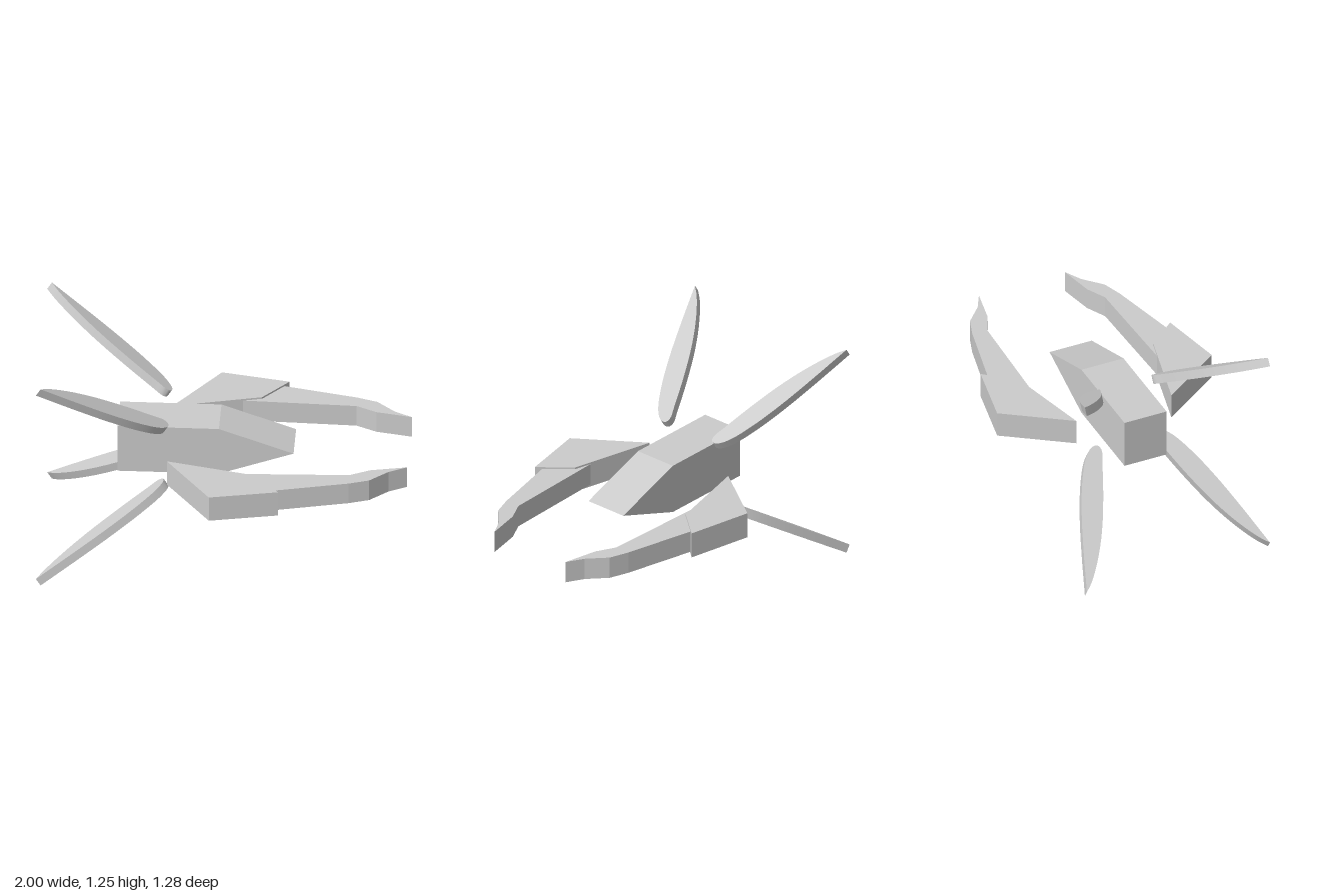
import * as THREE from 'three';
import { toCreasedNormals } from 'three/addons/utils/BufferGeometryUtils.js';

const MID_Y = 0.632; // horizontal symmetry plane

const shapeOf = (pts) => new THREE.Shape(pts.map(([x, y]) => new THREE.Vector2(x, y)));

function addMesh(parent, name, geometry, flat = true) {
  const mesh = new THREE.Mesh(geometry, new THREE.MeshStandardMaterial({ color: 0xcccccc, flatShading: flat }));
  mesh.name = name;
  parent.add(mesh);
}

// Plate with an (x, z) outline, between two heights
function plate(outline, side, y0, y1) {
  const shape = shapeOf(outline.map(([x, z]) => [x, -side * z]));
  const geo = new THREE.ExtrudeGeometry(shape, { depth: y1 - y0, bevelEnabled: false });
  return geo.rotateX(-Math.PI / 2).translate(0, y0, 0);
}

// Leaf-shaped blade, tilted outward; sy = up/down, sz = left/right
function blade(sy, sz) {
  const sin = 0.54, cos = 0.842, thick = 0.048, baseX = -0.3, baseY = 0.826;
  // Outline as (z, y) points, from the tip down the inner edge and back up the outer one
  const points = [
    [0.548, 1.258], [0.5, 1.232], [0.42, 1.172], [0.333, 1.088], [0.25, 0.985], [0.18, 0.882],
    [0.157, 0.845], [0.165, 0.83], [0.185, 0.826], [0.21, 0.83], [0.26, 0.856],
    [0.33, 0.923], [0.4, 1.013], [0.47, 1.123], [0.542, 1.248],
  ].map(([z, y]) => new THREE.Vector3((y - baseY) / sin, z * sz * sy, 0));
  const curve = new THREE.CatmullRomCurve3(points);
  const shape = shapeOf(curve.getPoints(56).map((p) => [p.x, p.y]));
  const geo = new THREE.ExtrudeGeometry(shape, { depth: thick, bevelEnabled: false }).translate(0, 0, -thick);
  const matrix = new THREE.Matrix4().makeBasis(
    new THREE.Vector3(-cos, sin * sy, 0),
    new THREE.Vector3(0, 0, sy),
    new THREE.Vector3(sin, cos * sy, 0),
  ).setPosition(baseX, MID_Y + sy * (baseY - MID_Y), 0);
  return toCreasedNormals(geo.applyMatrix4(matrix), 0.6);
}

export function createModel() {
  const model = new THREE.Group();
  model.name = 'model';

  // Wedge-nosed hull
  const hull = shapeOf([[-0.58, 0.49], [-0.03, 0.49], [0.375, MID_Y], [-0.03, 0.775], [-0.58, 0.775]]);
  addMesh(model, 'hull', new THREE.ExtrudeGeometry(hull, { depth: 0.252, bevelEnabled: false }).translate(0, 0, -0.126));

  const shoulder = [[-0.304, 0.284], [-0.056, 0.642], [0.315, 0.567], [0.175, 0.4]];
  const pincer = [
    [0.06, 0.376], [0.69, 0.354], [0.8, 0.298], [0.997, 0.257],
    [0.9, 0.31], [0.8, 0.403], [0.69, 0.441], [0.25, 0.545],
  ];

  for (const side of [1, -1]) {
    const label = side > 0 ? 'front' : 'back';
    // Side arm: thick shoulder plate with a curved pincer
    const arm = new THREE.Group();
    arm.name = `${label}Arm`;
    addMesh(arm, 'shoulder', plate(shoulder, side, 0.51, 0.658));
    addMesh(arm, 'pincer', plate(pincer, side, 0.523, 0.648));
    model.add(arm);

    // Upper and lower fins
    addMesh(model, `${label}UpperFin`, blade(1, side), false);
    addMesh(model, `${label}LowerFin`, blade(-1, side), false);
  }
  return model;
}
